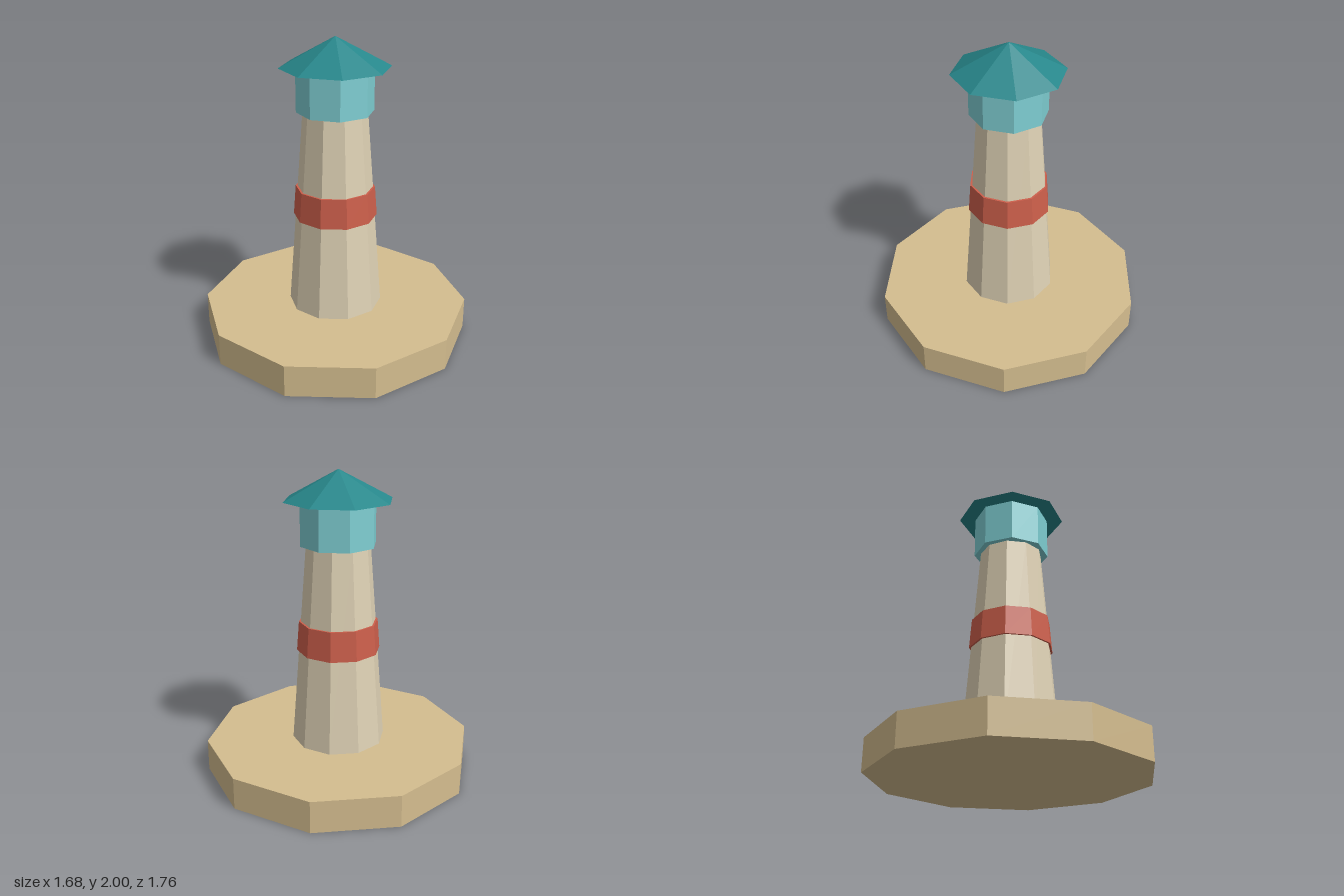
import * as THREE from 'three';

const material = (name, color) => {
  const m = new THREE.MeshStandardMaterial({ color, flatShading: true });
  m.name = name;
  return m;
};

export function createModel() {
  const sand = material('sand', 0xd4bd8f);
  const stone = material('pale stone', 0xdfd2b5);
  const red = material('red', 0xcd5f4b);
  const glass = material('light aqua', 0x7fcfd3);
  const teal = material('dark teal', 0x27878b);

  const group = new THREE.Group();
  group.name = 'lighthouse';

  // Upright faceted prism or cone between two heights
  const addPart = (name, mat, sides, bottomRadius, topRadius, y0, y1) => {
    const geometry = topRadius > 0
      ? new THREE.CylinderGeometry(topRadius, bottomRadius, y1 - y0, sides)
      : new THREE.ConeGeometry(bottomRadius, y1 - y0, sides);
    const mesh = new THREE.Mesh(geometry, mat);
    mesh.name = name;
    mesh.position.y = (y0 + y1) / 2;
    group.add(mesh);
  };

  // Ten-sided ground, tapered tower and painted band
  addPart('base', sand, 10, 0.882, 0.882, 0, 0.21);
  addPart('tower', stone, 10, 0.307, 0.206, 0.21, 1.53);
  addPart('band', red, 10, 0.272, 0.257, 0.835, 1.03);

  // Eight-sided lantern room and overhanging roof
  addPart('lanternRoom', glass, 8, 0.247, 0.247, 1.53, 1.81);
  addPart('roof', teal, 8, 0.353, 0, 1.81, 2);

  return group;
}
